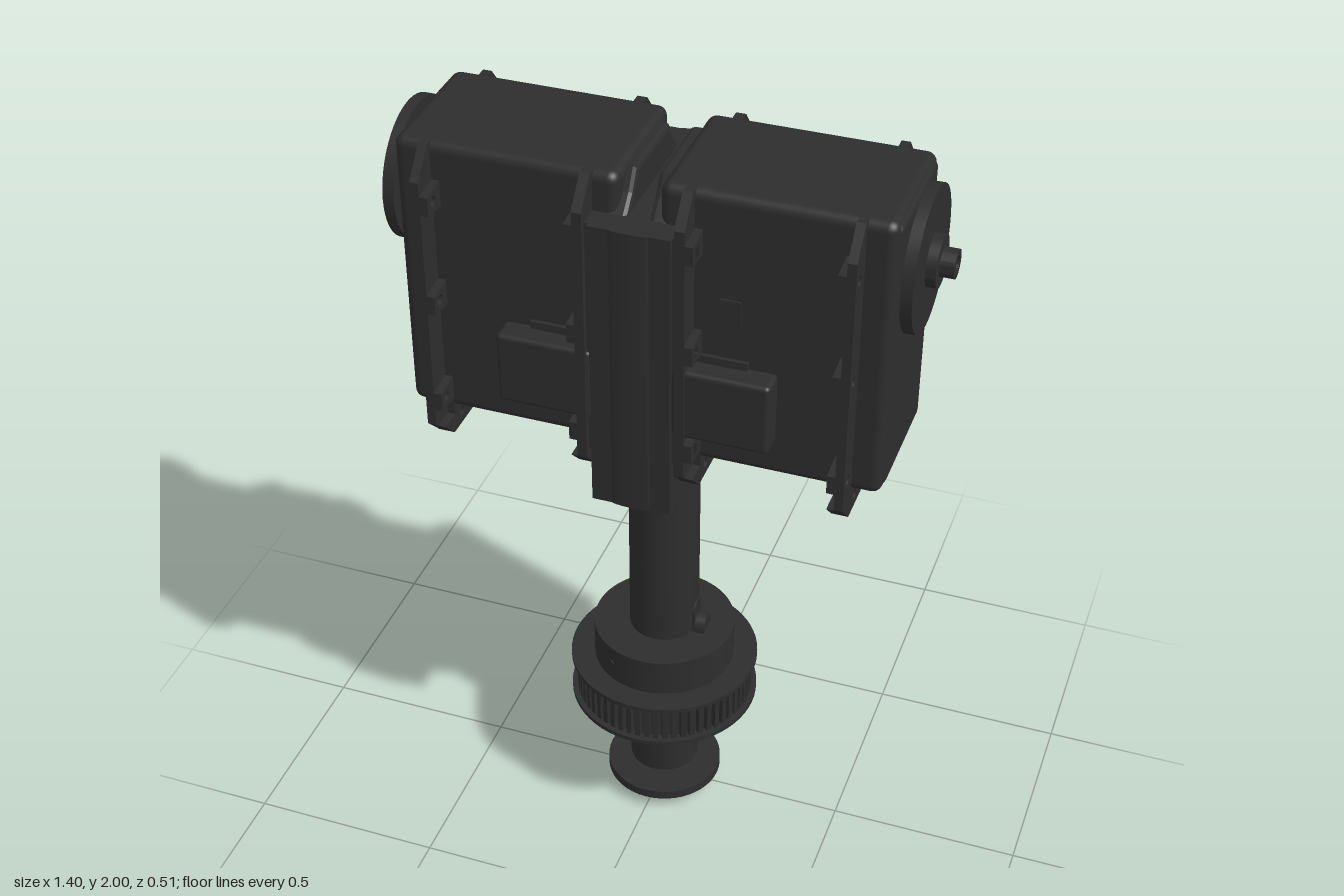
import * as THREE from 'three';
import { RoundedBoxGeometry } from 'three/addons/geometries/RoundedBoxGeometry.js';
import { toCreasedNormals } from 'three/addons/utils/BufferGeometryUtils.js';

const dark = new THREE.MeshStandardMaterial({ color: 0x2d2d2d });

function add(parent, name, geometry) {
  const mesh = new THREE.Mesh(geometry, dark);
  mesh.name = name;
  parent.add(mesh);
  return mesh;
}

// Box given by its limits, optionally rounded
function box(x0, x1, y0, y1, z0, z1, r = 0) {
  const size = [x1 - x0, y1 - y0, z1 - z0];
  const g = r ? new RoundedBoxGeometry(...size, 3, r) : new THREE.BoxGeometry(...size);
  return g.translate((x0 + x1) / 2, (y0 + y1) / 2, (z0 + z1) / 2);
}

// Shape drawn in (z, y), extruded from x0 to x1
function slab(shape, x0, x1, bevel = 0) {
  const g = new THREE.ExtrudeGeometry(shape, {
    depth: x1 - x0 - 2 * bevel, bevelEnabled: bevel > 0, bevelSize: bevel,
    bevelThickness: bevel, bevelOffset: -bevel, bevelSegments: 2, curveSegments: 12,
  });
  return g.rotateY(Math.PI / 2).translate(x0 + bevel, 0, 0);
}

function polygon(points) {
  return new THREE.Shape(points.map(([x, y]) => new THREE.Vector2(x, y)));
}

// Turned part from [radius, height] points, with sharp corners
function turned(points, sides = 48) {
  const g = new THREE.LatheGeometry(points.map(([r, y]) => new THREE.Vector2(r, y)), sides);
  return toCreasedNormals(g, 0.5);
}

function hole(shape, x, y, r) {
  const path = new THREE.Path();
  path.absarc(x, y, r, 0, Math.PI * 2, true);
  shape.holes.push(path);
}

const holeHeights = [1.32, 1.6, 1.87];

// Mounting flange with chamfered corners and screw holes
function flangeShape() {
  const s = polygon([[-0.19, 1.19], [0.19, 1.19], [0.25, 1.25], [0.25, 1.93],
    [0.19, 2], [-0.19, 2], [-0.25, 1.93], [-0.25, 1.25]]);
  for (const side of [-1, 1]) {
    for (const y of holeHeights) hole(s, side * 0.22, y, 0.014);
    hole(s, side * 0.14, 1.222, 0.014);
  }
  return s;
}

// Thickened lug around one flange hole
function lugShape(side, y) {
  const s = polygon([[side * 0.17, y - 0.035], [side * 0.25, y - 0.025],
    [side * 0.25, y + 0.025], [side * 0.17, y + 0.035]]);
  hole(s, side * 0.22, y, 0.014);
  return s;
}

// One motor unit, reaching out along +x
function motorUnit() {
  const unit = new THREE.Group();
  unit.name = 'motorUnit';
  add(unit, 'motorBody', box(0.05, 0.6, 1.26, 2, -0.18, 0.18, 0.025));
  add(unit, 'outerCover', box(0.55, 0.606, 1.275, 1.99, -0.165, 0.165, 0.02));
  add(unit, 'innerCover', slab(polygon([[-0.18, 1.24], [0.18, 1.24], [0.18, 1.9],
    [0.14, 1.94], [0.11, 1.99], [-0.11, 1.99], [-0.14, 1.94], [-0.18, 1.9]]), 0.025, 0.11, 0.012));

  // Inner and outer flanges: thin plate plus lugs
  for (const [x0, x1, l0, l1] of [[0.11, 0.135, 0.13, 0.155], [0.508, 0.53, 0.488, 0.512]]) {
    add(unit, 'flange', slab(flangeShape(), x0, x1));
    for (const side of [-1, 1]) {
      for (const y of holeHeights) add(unit, 'flangeLug', slab(lugShape(side, y), l0, l1));
    }
    add(unit, 'lowerFlangeLug', box(l0, l1, 1.24, 1.28, -0.18, 0.18));
    const foot = polygon([[-0.19, 1.19], [0.19, 1.19], [0.24, 1.24], [-0.24, 1.24]]);
    for (const side of [-1, 1]) hole(foot, side * 0.14, 1.222, 0.014);
    add(unit, 'flangeFoot', slab(foot, l0, l1));
  }

  // Connector blocks on both broad faces
  for (const side of [-1, 1]) {
    const base = add(unit, 'connectorBase', box(0.13, 0.27, 1.34, 1.57, 0.15, 0.19));
    const block = add(unit, 'connectorBlock', box(0.1, 0.34, 1.36, 1.55, 0.15, 0.243, 0.012));
    if (side < 0) for (const m of [base, block]) m.rotation.x = Math.PI, m.position.y = 2.91;
  }
  add(unit, 'socket', box(0.2, 0.25, 1.655, 1.73, 0.17, 0.184));

  // Output disc and stepped hub
  const disc = add(unit, 'outputDisc', turned([[0, 0.59], [0.06, 0.59], [0.06, 0.612], [0.175, 0.612],
    [0.175, 0.64], [0.063, 0.64], [0.063, 0.665], [0.035, 0.665], [0.035, 0.7], [0.02, 0.7],
    [0.02, 0.685], [0, 0.685]]));
  disc.rotation.z = -Math.PI / 2;
  disc.position.y = 1.82;
  return unit;
}

// Bracket holding both motors on top of the shaft
function bracket() {
  const g = new THREE.Group();
  g.name = 'bracket';
  for (const side of [-1, 1]) {
    const [z0, z1] = side > 0 ? [0.18, 0.247] : [-0.247, -0.18];
    add(g, 'bracketLeg', box(-0.1, 0.1, 1.125, 1.9, z0, z1));
    add(g, 'bracketLegSide', box(-0.125, 0.125, 1.27, 1.9, side > 0 ? 0.17 : -0.235, side > 0 ? 0.235 : -0.17));
    const rib = add(g, 'bracketRib', new THREE.CylinderGeometry(0.05, 0.05, 0.775, 24));
    rib.scale.z = 0.16;
    rib.position.set(0, 1.5125, side * 0.245);
  }
  add(g, 'bracketWeb', box(-0.03, 0.03, 1.2, 1.9, -0.2, 0.2));
  add(g, 'bracketBridge', box(-0.1, 0.1, 1.19, 1.27, -0.2, 0.2));
  return g;
}

// Toothed pulley with two rims and a clamping collar
function pulley() {
  const g = new THREE.Group();
  g.name = 'pulley';
  const teeth = 60;
  const s = new THREE.Shape();
  for (let i = 0; i < teeth; i++) {
    [[0, 0.236], [0.55, 0.236], [0.65, 0.222], [0.9, 0.222]].forEach(([f, r], k) => {
      const a = (i + f) / teeth * Math.PI * 2;
      if (i + k === 0) s.moveTo(r * Math.cos(a), r * Math.sin(a));
      else s.lineTo(r * Math.cos(a), r * Math.sin(a));
    });
  }
  s.closePath();
  add(g, 'toothRing', new THREE.ExtrudeGeometry(s, { depth: 0.11, bevelEnabled: false })
    .rotateX(-Math.PI / 2).translate(0, 0.345, 0));
  for (const y of [0.333, 0.448]) {
    add(g, 'pulleyRim', turned([[0, y], [0.25, y], [0.25, y + 0.012], [0, y + 0.012]], 64));
  }
  add(g, 'collar', turned([[0, 0.455], [0.187, 0.455], [0.187, 0.565], [0, 0.565]], 64));
  // Set screws around the collar
  for (const angle of [0, Math.PI * 2 / 3]) {
    const screw = add(g, 'setScrew', new THREE.CylinderGeometry(0.013, 0.013, 0.02, 16).rotateZ(Math.PI / 2));
    screw.position.set(0.178 * Math.cos(angle), 0.51, 0.178 * Math.sin(angle));
    screw.rotation.y = -angle;
  }
  return g;
}

// Round-ended key in the shaft
function keyShape(y0, y1, r) {
  const s = new THREE.Shape();
  s.absarc(0, y1 - r, r, 0, Math.PI, false);
  s.absarc(0, y0 + r, r, Math.PI, Math.PI * 2, false);
  s.closePath();
  return s;
}

export function createModel() {
  const model = new THREE.Group();
  model.name = 'twinMotorShaft';

  const left = motorUnit();
  const right = motorUnit();
  right.rotation.y = Math.PI;
  model.add(left, right, bracket(), pulley());

  add(model, 'shaft', turned([[0, 0.08], [0.087, 0.08], [0.092, 0.085], [0.092, 1.15],
    [0.06, 1.2], [0, 1.2]]));
  add(model, 'shaftKey', slab(keyShape(0.295, 0.605, 0.03), 0.05, 0.12));
  add(model, 'keySeat', slab(keyShape(0.29, 0.655, 0.03), 0.05, 0.094));

  // Retaining washer and domed bolt under the shaft
  add(model, 'endWasher', turned([[0, 0.036], [0.155, 0.036], [0.155, 0.062], [0.035, 0.062],
    [0.035, 0.085], [0, 0.085]]));
  add(model, 'endBolt', turned([[0, 0.012], [0.022, 0.012], [0.022, 0], [0.03, 0], [0.05, 0.012],
    [0.063, 0.036], [0, 0.036]], 32));
  return model;
}
